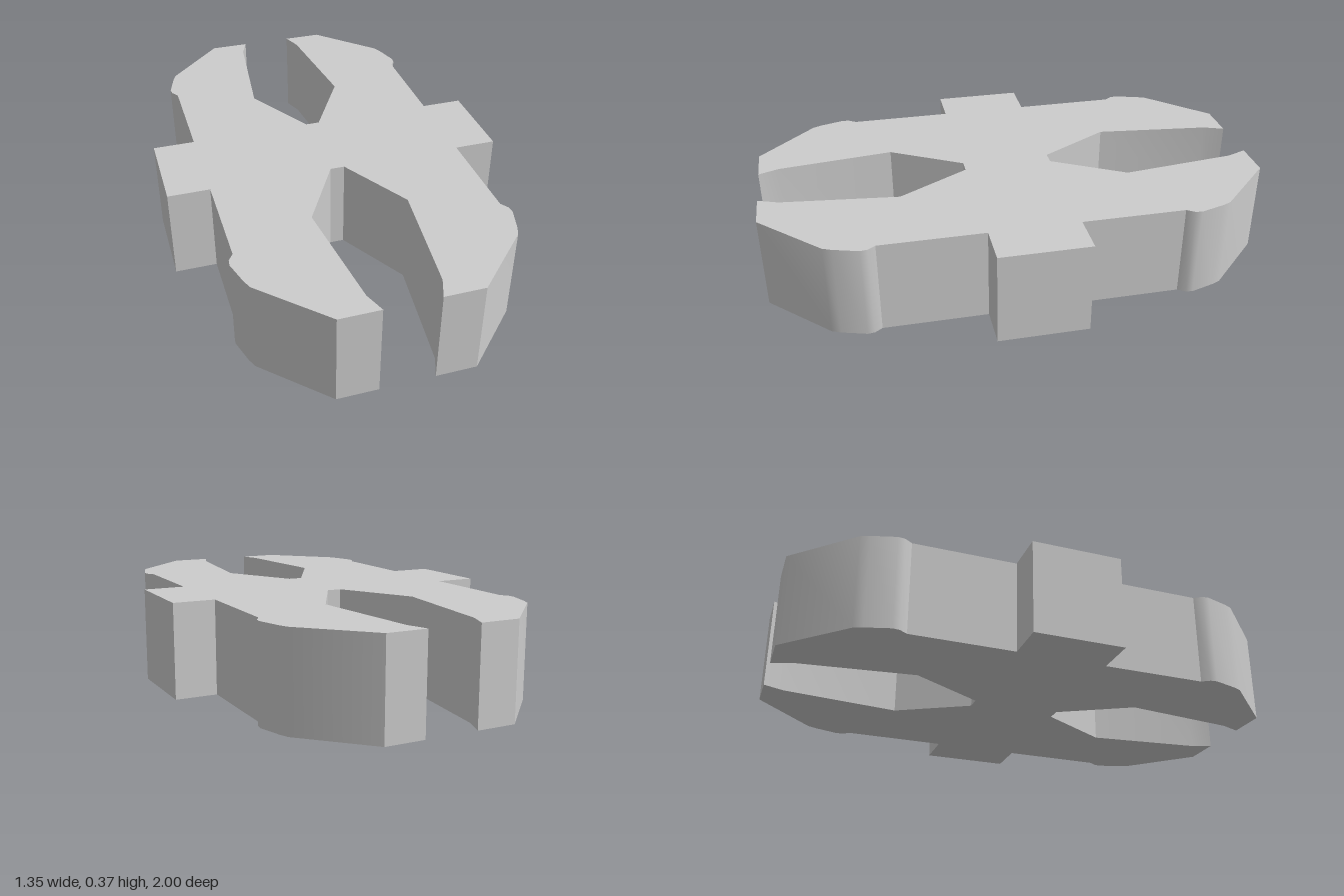
import * as THREE from 'three';
import { toCreasedNormals } from 'three/addons/utils/BufferGeometryUtils.js';

export function createModel() {
  const group = new THREE.Group();
  group.name = 'doubleEndedClip';

  const grey = new THREE.MeshStandardMaterial({ color: 0xcccccc });
  grey.name = 'light grey';

  // One quarter of the outline, from the inner notch around a jaw to the side lug
  const quarter = [
    [0.028, 0.177], [0.188, 0.46], [0.135, 0.92], [0.105, 1],
    [0.262, 1], [0.49, 0.77], [0.505, 0.735], [0.533, 0.64], [0.53, 0.613],
    [0.51, 0.583], [0.51, 0.177], [0.675, 0.177],
  ];
  const reversed = [...quarter].reverse();

  // Mirror the quarter into the full closed outline
  const mirror = (points, sx, sy) => points.map(([x, y]) => new THREE.Vector2(x * sx, y * sy));
  const outline = new THREE.Shape([
    ...mirror(quarter, 1, 1),
    ...mirror(reversed, 1, -1),
    ...mirror(quarter, -1, -1),
    ...mirror(reversed, -1, 1),
  ]);

  // Flat plate laid on the ground, smooth over the shallow jaw corners
  let plate = new THREE.ExtrudeGeometry(outline, { depth: 0.37, bevelEnabled: false });
  plate.rotateX(-Math.PI / 2);
  plate = toCreasedNormals(plate, 0.56);

  const body = new THREE.Mesh(plate, grey);
  body.name = 'clipBody';
  group.add(body);
  return group;
}
